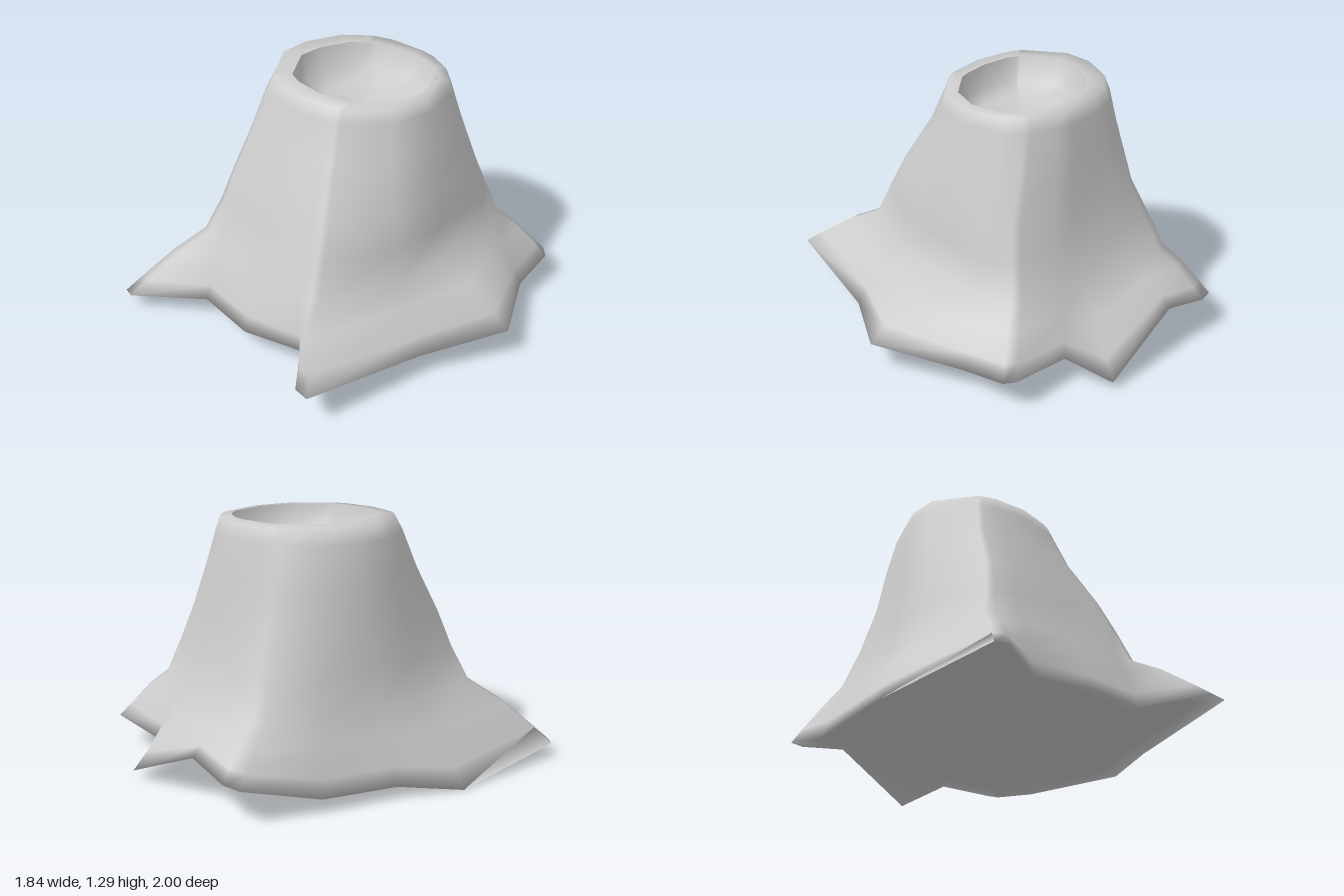
import * as THREE from 'three';

// Root outline on the ground, one entry per spoke: x, y, z
const BASE = [
  [0.92, 0.16, -0.15], [0.72, 0.12, 0.28], [0.63, 0.18, 0.95], [0.55, 0.19, 0.95],
  [0.3, 0.14, 0.7], [-0.04, 0.11, 0.78], [-0.39, 0.11, 0.75], [-0.73, 0.08, 1],
  [-0.8, 0.07, 0.98], [-0.92, 0, 0.31], [-0.83, 0.06, -0.03], [-0.79, 0.07, -0.43],
  [-0.73, 0.18, -0.84], [-0.64, 0.19, -0.88], [-0.38, 0.24, -0.9], [0.08, 0.04, -1],
  [0.22, 0.13, -0.8], [0.56, 0.16, -0.85], [0.61, 0.15, -0.81], [0.65, 0.11, -0.56],
].map((p) => new THREE.Vector3(...p));

// Rounded-square ring of the trunk; every point lies on the spoke of its root.
// Skew pulls out one pair of opposite corners and draws in the other.
function ring(y, x0, x1, z0, z1, power, tilt = 0, skew = 0) {
  const cx = (x0 + x1) / 2, cz = (z0 + z1) / 2;
  const rx = (x1 - x0) / 2, rz = (z1 - z0) / 2;
  return BASE.map((b) => {
    const a = Math.atan2(b.z + 0.02, b.x + 0.04);
    const c = Math.cos(a), s = Math.sin(a);
    const r = (Math.abs(c / rx) ** power + Math.abs(s / rz) ** power) ** (-1 / power)
      * (1 - skew * Math.sin(2 * a));
    const x = cx + c * r;
    return new THREE.Vector3(x, y - tilt * x, cz + s * r);
  });
}

// Ring part of the way from the root outline to another ring
const between = (target, t, lift) => BASE.map((b, i) => {
  const p = b.clone().lerp(target[i], t);
  p.y += lift;
  return p;
});

// Ring collapsed to a point, closing a skin
const closing = (x, y, z) => BASE.map(() => new THREE.Vector3(x, y, z));

// Smooth skin through a list of closed rings
function loft(name, rings, material) {
  const n = BASE.length, index = [];
  for (let r = 0; r < rings.length - 1; r++) {
    for (let i = 0; i < n; i++) {
      const a = r * n + i, b = r * n + (i + 1) % n;
      index.push(a, a + n, b, b, a + n, b + n);
    }
  }
  const geometry = new THREE.BufferGeometry().setFromPoints(rings.flat());
  geometry.setIndex(index);
  geometry.computeVertexNormals();
  const mesh = new THREE.Mesh(geometry, material);
  mesh.name = name;
  return mesh;
}

export function createModel() {
  const material = new THREE.MeshStandardMaterial({ color: 0xcccccc, roughness: 0.9 });
  const group = new THREE.Group();
  group.name = 'treeStump';

  const foot = ring(0.42, -0.67, 0.5, -0.68, 0.64, 6);
  const lip = ring(1.275, -0.41, 0.27, -0.41, 0.23, 2.3, 0.04, 0.07);

  // Raised underside, flaring roots, trunk and rim
  group.add(loft('trunkAndRoots', [
    closing(-0.05, 0.15, -0.03),
    BASE.map((b) => new THREE.Vector3(b.x * 0.88, Math.max(b.y, 0.14), b.z * 0.88)),
    BASE,
    between(foot, 0.22, 0.01),
    between(foot, 0.6, 0.02),
    foot,
    ring(0.6, -0.63, 0.475, -0.62, 0.57, 4.8),
    ring(0.78, -0.605, 0.45, -0.575, 0.52, 3.4, 0, 0.02),
    ring(1.02, -0.58, 0.385, -0.535, 0.41, 2.6, 0, 0.04),
    ring(1.2, -0.545, 0.345, -0.5, 0.345, 2.3, 0.02, 0.05),
    ring(1.27, -0.515, 0.33, -0.48, 0.315, 2.2, 0.04, 0.05),
    lip,
  ], material));

  // Steep-walled hollow in the top
  group.add(loft('hollow', [
    lip,
    ring(1.16, -0.37, 0.24, -0.37, 0.2, 2.3, 0.02, 0.06),
    ring(1.11, -0.29, 0.16, -0.3, 0.13, 2.2),
    closing(-0.07, 1.09, -0.09),
  ], material));

  return group;
}
